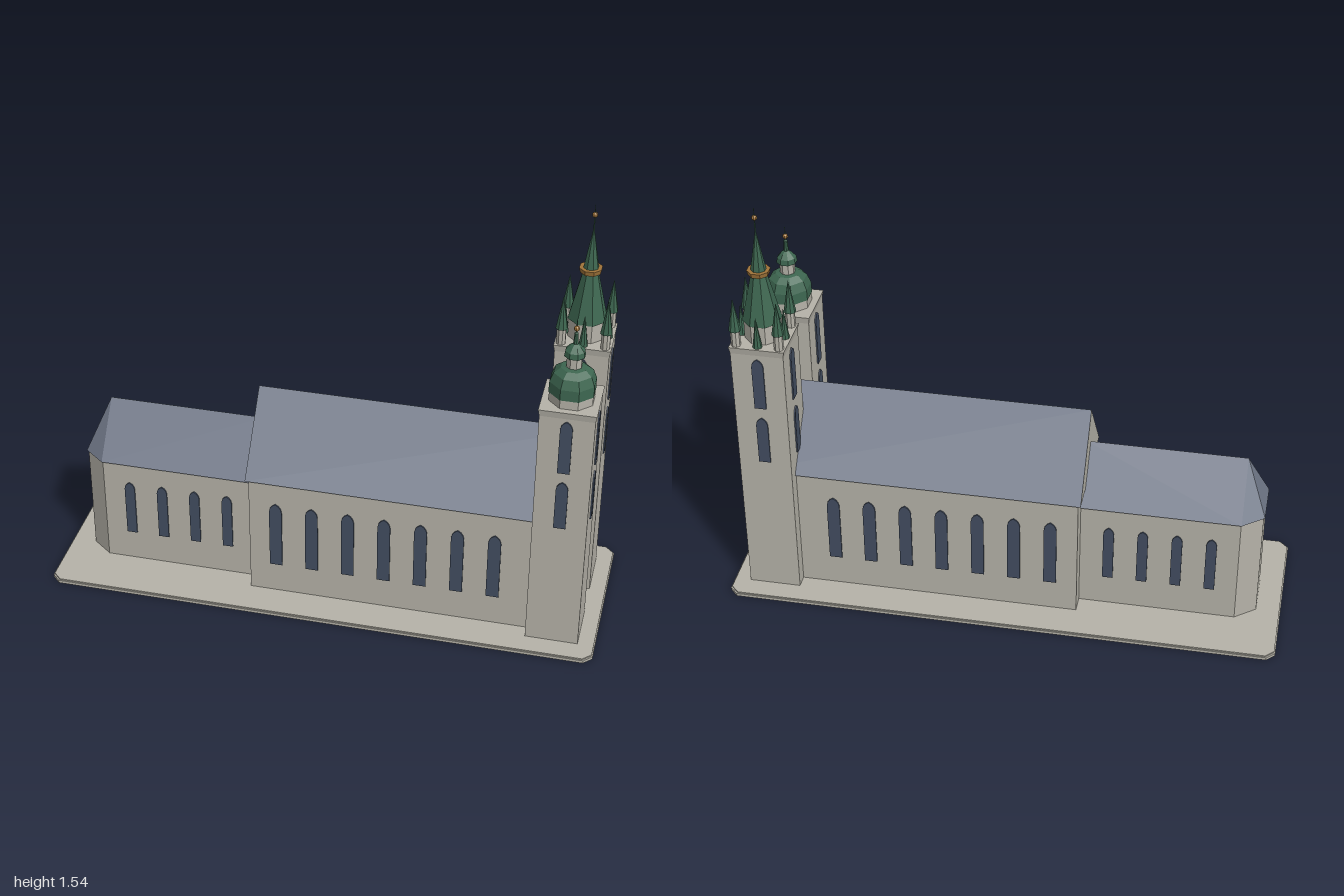
import * as THREE from 'three';
import { ConvexGeometry } from 'three/addons/geometries/ConvexGeometry.js';

const paint = (name, color) => Object.assign(new THREE.MeshStandardMaterial({ color, flatShading: true }), { name });

export function createModel() {
  const stone = paint('stone', 0xb5b2a8);
  const slate = paint('slate', 0x6e7686);
  const glass = paint('glass', 0x424d60);
  const copper = paint('copper', 0x3d6650);
  const red = paint('doorRed', 0x982b2e);
  const gold = paint('gold', 0xa0743a);

  const model = new THREE.Group();
  model.name = 'church';

  function add(parent, name, geometry, material, x = 0, y = 0, z = 0) {
    const mesh = new THREE.Mesh(geometry, material);
    mesh.name = name;
    mesh.position.set(x, y, z);
    parent.add(mesh);
    return mesh;
  }
  const box = (parent, name, x0, x1, y0, y1, z0, z1) =>
    add(parent, name, new THREE.BoxGeometry(x1 - x0, y1 - y0, z1 - z0), stone,
      (x0 + x1) / 2, (y0 + y1) / 2, (z0 + z1) / 2);

  // Upright prism from a plan outline
  function prism(points, height) {
    const shape = new THREE.Shape(points.map(([x, z]) => new THREE.Vector2(x, -z)));
    return new THREE.ExtrudeGeometry(shape, { depth: height, bevelEnabled: false }).rotateX(-Math.PI / 2);
  }

  // Eight-sided piece standing on y0 with flats facing the axes
  function octagon(parent, name, rBottom, rTop, y0, y1, material, x = 0, z = 0) {
    const geometry = new THREE.CylinderGeometry(rTop, rBottom, y1 - y0, 8, 1, false, Math.PI / 8);
    return add(parent, name, geometry, material, x, (y0 + y1) / 2, z);
  }
  const turned = (profile) => new THREE.LatheGeometry(
    profile.map(([r, y]) => new THREE.Vector2(r, y)), 8, Math.PI / 8);

  // Thin pointed-arch plate facing the given direction
  function arch(parent, name, w, y0, y1, material, x, z, turn) {
    const h = y1 - y0, a = w / 2, spring = h - w * 0.72;
    const shape = new THREE.Shape();
    shape.moveTo(-a, 0);
    shape.lineTo(a, 0);
    shape.lineTo(a, spring);
    shape.quadraticCurveTo(a * 0.9, h - w * 0.2, 0, h);
    shape.quadraticCurveTo(-a * 0.9, h - w * 0.2, -a, spring);
    const geometry = new THREE.ExtrudeGeometry(shape, { depth: 0.005, bevelEnabled: false, curveSegments: 3 });
    add(parent, name, geometry, material, x, y0, z).rotation.y = turn;
  }

  // Plinth with clipped corners and a small chamfer
  const c = 0.03, bx = 1, bz = 0.335;
  const plan = [[-bx + c, bz], [bx - c, bz], [bx, bz - c], [bx, -bz + c],
    [bx - c, -bz], [-bx + c, -bz], [-bx, -bz + c], [-bx, bz - c]];
  add(model, 'plinth', prism(plan, 0.011), stone);
  add(model, 'plinthTop', prism(plan.map(([x, z]) => [x * 0.996, z * 0.988]), 0.016), stone);

  // Nave with a gabled roof: stone gables, slate slopes
  const nave = new THREE.Group();
  nave.name = 'nave';
  model.add(nave);
  box(nave, 'naveWalls', -0.27, 0.9, 0.01, 0.495, -0.205, 0.205);
  const gable = new THREE.Shape([[-0.217, 0.492], [0.217, 0.492], [0, 0.76]].map((p) => new THREE.Vector2(...p)));
  const naveRoof = new THREE.ExtrudeGeometry(gable, { depth: 1.193, bevelEnabled: false }).rotateY(Math.PI / 2);
  add(nave, 'naveRoof', naveRoof, [stone, slate], -0.28);
  arch(nave, 'facadeWindow', 0.08, 0.225, 0.487, glass, 0.9, 0, Math.PI / 2);
  arch(nave, 'door', 0.056, 0.016, 0.156, red, 0.9, 0, Math.PI / 2);

  // Choir with a three-sided end and hipped roof
  const choir = new THREE.Group();
  choir.name = 'choir';
  model.add(choir);
  add(choir, 'choirWalls', prism([[-0.26, 0.14], [-0.26, -0.14], [-0.838, -0.14],
    [-0.912, -0.082], [-0.912, 0.082], [-0.838, 0.14]].reverse(), 0.437), stone);
  const ridge = [[-0.265, 0.625, 0], [-0.84, 0.625, 0]];
  const eaves = [1, -1].flatMap((s) => [[-0.265, 0.436, 0.148 * s], [-0.84, 0.436, 0.148 * s], [-0.917, 0.436, 0.087 * s]]);
  add(choir, 'choirRoof', new ConvexGeometry([...ridge, ...eaves].map((p) => new THREE.Vector3(...p))), slate);

  // Side windows on both flanks
  for (const side of [1, -1]) {
    const turn = side > 0 ? 0 : Math.PI;
    for (let i = 0; i < 7; i++) arch(nave, 'naveWindow', 0.046, 0.135, 0.402, glass, -0.172 + i * 0.132, 0.205 * side, turn);
    for (let i = 0; i < 4; i++) arch(choir, 'choirWindow', 0.038, 0.135, 0.357, glass, -0.74 + i * 0.1225, 0.14 * side, turn);
  }

  // Square tower shaft with cornice and two windows on every side
  function tower(name, z, top, sills) {
    const group = new THREE.Group();
    group.name = name;
    group.position.set(0.845, 0, z);
    model.add(group);
    const r = 0.094;
    box(group, 'shaft', -r, r, 0.01, top - 0.01, -r, r);
    const cornice = new THREE.CylinderGeometry(0.098 * Math.SQRT2, r * Math.SQRT2, 0.025, 4, 1, false, Math.PI / 4);
    add(group, 'cornice', cornice, stone, 0, top - 0.0125, 0);
    for (let k = 0; k < 4; k++) {
      const turn = k * Math.PI / 2;
      for (const [y0, y1] of sills) {
        arch(group, 'towerWindow', 0.042, y0, y1, glass, r * Math.sin(turn), r * Math.cos(turn), turn);
      }
    }
    return group;
  }

  // Front tower: dome, lantern, cap and finial
  const domed = tower('domedTower', 0.16, 0.982, [[0.512, 0.702], [0.74, 0.947]]);
  octagon(domed, 'drum', 0.08, 0.08, 0.98, 1.018, stone);
  add(domed, 'dome', turned([[0, 1.015], [0.082, 1.015], [0.081, 1.055], [0.068, 1.088], [0.045, 1.106], [0, 1.112]]), copper);
  octagon(domed, 'lantern', 0.027, 0.027, 1.105, 1.152, stone);
  add(domed, 'lanternCap', turned([[0, 1.15], [0.037, 1.15], [0.034, 1.17], [0.02, 1.186], [0.009, 1.195], [0.007, 1.235], [0, 1.24]]), copper);
  add(domed, 'finialBall', new THREE.SphereGeometry(0.01, 8, 6), gold, 0, 1.252, 0);
  octagon(domed, 'finialRod', 0.003, 0.001, 1.235, 1.288, copper);

  // Rear tower: tall broken spire, gilded gallery and finial
  const spired = tower('spiredTower', -0.16, 1.04, [[0.57, 0.757], [0.798, 1.0]]);
  octagon(spired, 'spireDrum', 0.065, 0.065, 1.035, 1.112, stone);
  add(spired, 'spire', turned([[0, 1.11], [0.069, 1.11], [0.027, 1.29], [0.027, 1.305], [0.003, 1.445], [0, 1.446]]), copper);
  octagon(spired, 'gallery', 0.037, 0.041, 1.287, 1.305, gold);
  octagon(spired, 'spireRod', 0.003, 0.001, 1.44, 1.54, copper);
  add(spired, 'spireBall', new THREE.SphereGeometry(0.01, 8, 6), gold, 0, 1.503, 0);

  // Corner turrets, with low cones between them
  for (const i of [-1, 0, 1]) {
    for (const j of [-1, 0, 1]) {
      const x = i * 0.076, z = j * 0.076;
      if (i && j) {
        octagon(spired, 'turret', 0.017, 0.017, 1.035, 1.102, stone, x, z);
        octagon(spired, 'turretRoof', 0.022, 0.0005, 1.1, 1.222, copper, x, z);
      } else if (i || j) {
        octagon(spired, 'sideCone', 0.017, 0.0005, 1.038, 1.155, copper, x, z);
      }
    }
  }
  return model;
}
